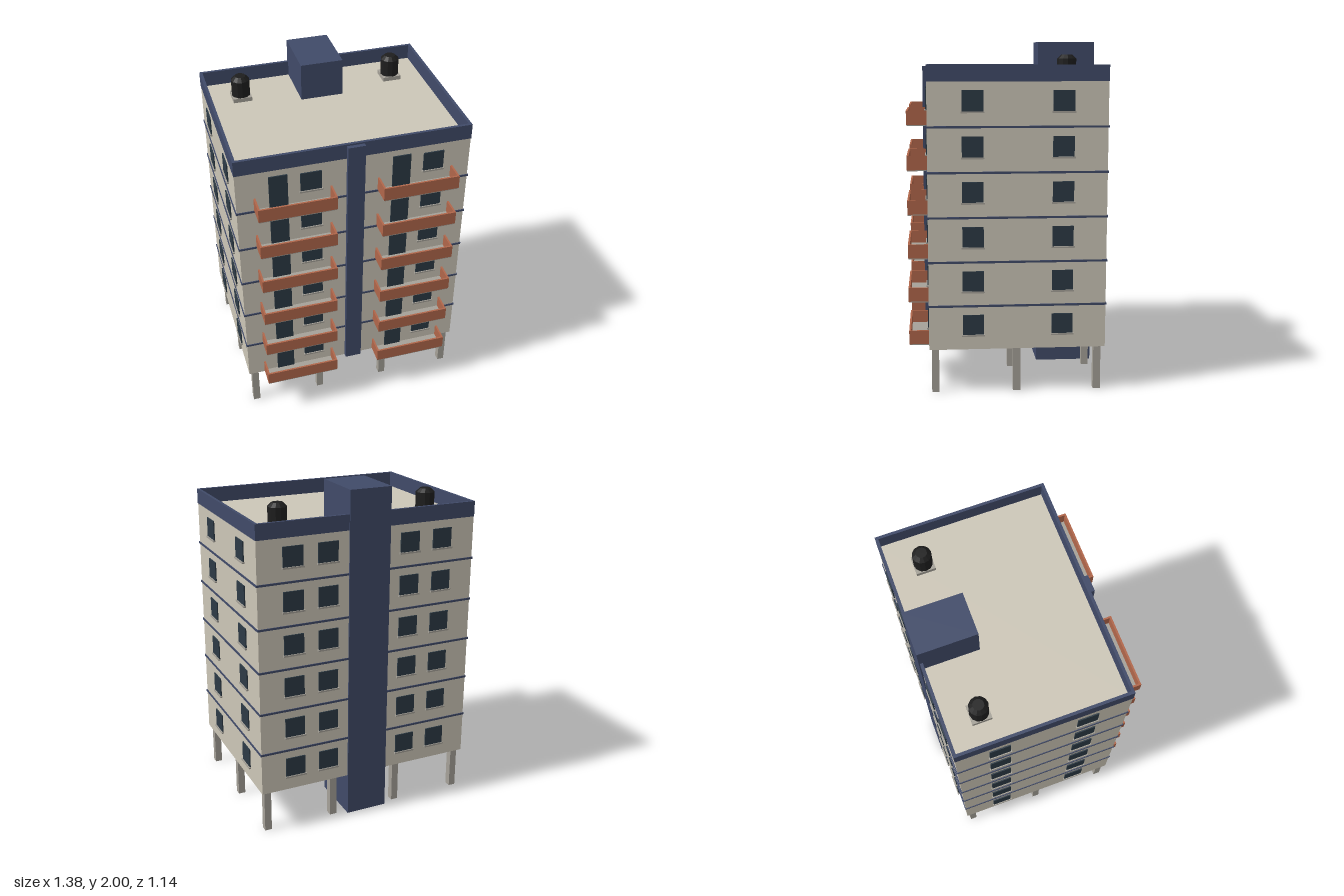
import * as THREE from 'three';

const mat = (name, color) => {
  const m = new THREE.MeshStandardMaterial({ color });
  m.name = name;
  return m;
};

export function createModel() {
  const cream = mat('cream wall', 0xccc6b7);
  const navy = mat('navy trim', 0x404a68);
  const terracotta = mat('terracotta', 0xb0664a);
  const glass = mat('dark glass', 0x2c3a45);
  const concrete = mat('concrete', 0xa5a198);
  const black = mat('black tank', 0x1e1e1e);
  black.flatShading = true;

  const model = new THREE.Group();
  model.name = 'apartmentBlock';

  // Box given by its minimum and maximum on each axis
  const box = (name, material, x0, x1, y0, y1, z0, z1, parent = model) => {
    const mesh = new THREE.Mesh(new THREE.BoxGeometry(x1 - x0, y1 - y0, z1 - z0), material);
    mesh.position.set((x0 + x1) / 2, (y0 + y1) / 2, (z0 + z1) / 2);
    mesh.name = name;
    parent.add(mesh);
    return mesh;
  };

  const W = 0.675, FRONT = 0.455, BACK = -0.555;
  const BASE = 0.258, FLOOR = 0.2535, FLOORS = 6, ROOF = 1.775, TOP = 1.865;

  // Main block, lift core and front pilaster
  box('mainBlock', cream, -W, W, BASE, ROOF, BACK, FRONT);
  box('liftCore', navy, -0.127, 0.127, 0, 2, -0.563, -0.22);
  box('frontPilaster', navy, -0.05, 0.05, BASE, 1.855, FRONT - 0.01, 0.481);

  // Parapet: a hollow frame around the flat roof
  const outer = new THREE.Shape([
    new THREE.Vector2(-0.677, -0.457), new THREE.Vector2(0.677, -0.457),
    new THREE.Vector2(0.677, 0.557), new THREE.Vector2(-0.677, 0.557),
  ]);
  outer.holes.push(new THREE.Path([
    new THREE.Vector2(-0.66, -0.44), new THREE.Vector2(-0.66, 0.54),
    new THREE.Vector2(0.66, 0.54), new THREE.Vector2(0.66, -0.44),
  ]));
  const parapet = new THREE.Mesh(
    new THREE.ExtrudeGeometry(outer, { depth: TOP - ROOF, bevelEnabled: false }), navy);
  parapet.rotation.x = -Math.PI / 2;
  parapet.position.y = ROOF;
  parapet.name = 'parapet';
  model.add(parapet);

  // Stilts
  for (const x of [-0.635, -0.212, 0.212, 0.635])
    for (const z of [0.42, -0.047, -0.513])
      box('stilt', concrete, x - 0.021, x + 0.021, 0, BASE, z - 0.021, z + 0.021);

  // Window with a projecting sill, turned to face outwards
  const addWindow = (x, y, z, turn) => {
    const g = new THREE.Group();
    g.name = 'window';
    box('windowPane', glass, -0.06, 0.06, 0.087, 0.202, -0.002, 0.007, g);
    box('windowSill', concrete, -0.066, 0.066, 0.077, 0.087, -0.002, 0.013, g);
    g.position.set(x, y, z);
    g.rotation.y = turn;
    model.add(g);
  };

  // Balcony: slab with a three-sided railing wall
  const addBalcony = (x, y) => {
    const g = new THREE.Group();
    g.name = 'balcony';
    const h = 0.222, d = 0.115, t = 0.011;
    box('balconySlab', concrete, -h + 0.002, h - 0.002, 0, 0.012, 0, d - 0.002, g);
    box('balconyFront', terracotta, -h, h, 0.006, 0.086, d - t, d, g);
    for (const s of [-1, 1]) {
      const c = s * (h - t / 2);
      box('balconySide', terracotta, c - t / 2, c + t / 2, 0.006, 0.086, 0, d - t, g);
    }
    g.position.set(x, y, FRONT);
    model.add(g);
  };

  for (let i = 0; i < FLOORS; i++) {
    const y = BASE + i * FLOOR;

    // Thin band between storeys
    if (i > 0) box('storeyBand', navy, -0.68, 0.68, y - 0.006, y + 0.006, -0.56, 0.46);

    // Front: a door and a window behind each balcony
    for (const [door, win, balcony] of [[-0.438, -0.254, -0.355], [0.27, 0.458, 0.355]]) {
      box('balconyDoor', glass, door - 0.053, door + 0.053, y + 0.012, y + 0.212, FRONT - 0.002, FRONT + 0.007);
      addWindow(win, y, FRONT, 0);
      addBalcony(balcony, y);
    }

    // Back and sides
    for (const x of [-0.465, -0.255, 0.255, 0.465]) addWindow(x, y, BACK, Math.PI);
    for (const z of [0.203, -0.305])
      for (const s of [-1, 1]) addWindow(s * W, y, z, s * Math.PI / 2);
  }

  // Roof water tanks on concrete pads
  const profile = [[0, 0], [0.055, 0], [0.055, 0.1], [0.032, 0.122], [0, 0.122]]
    .map(([r, y]) => new THREE.Vector2(r, y));
  for (const x of [-0.467, 0.467]) {
    box('tankPad', concrete, x - 0.056, x + 0.056, ROOF, ROOF + 0.025, -0.402, -0.29);
    const tank = new THREE.Mesh(new THREE.LatheGeometry(profile, 12), black);
    tank.position.set(x, ROOF + 0.025, -0.346);
    tank.name = 'waterTank';
    model.add(tank);
  }

  return model;
}
